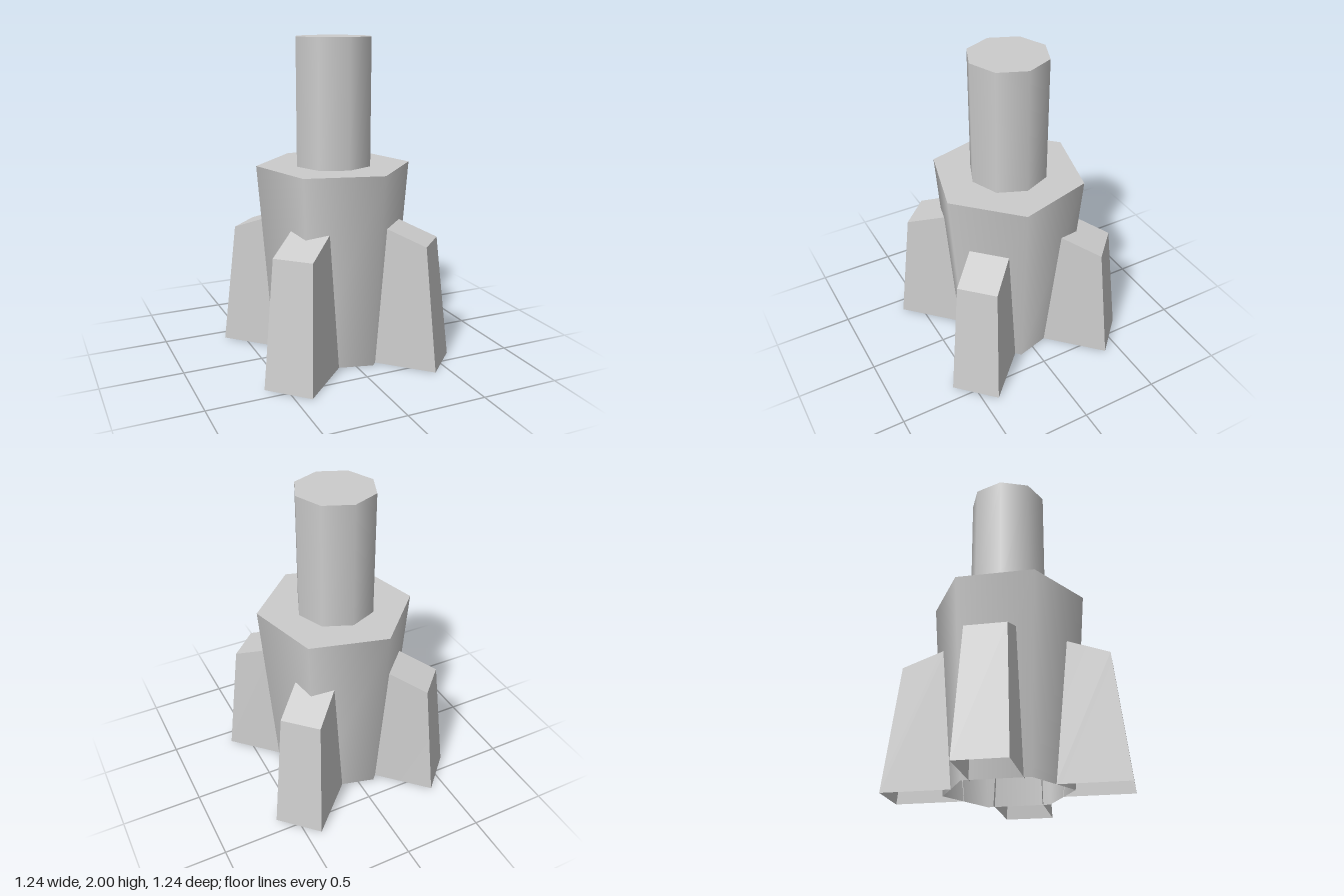
import * as THREE from 'three';

const grey = new THREE.MeshStandardMaterial({ color: 0xcccccc, side: THREE.DoubleSide });
grey.name = 'plain grey';

function add(parent, name, geometry) {
  const mesh = new THREE.Mesh(geometry, grey);
  mesh.name = name;
  parent.add(mesh);
  return mesh;
}

// Smooth-sided prism, open underneath, with a flat lid
function prism(name, rTop, rBottom, y0, y1, sides, turn) {
  const group = new THREE.Group();
  group.name = name;
  const h = y1 - y0;
  add(group, name + 'Wall', new THREE.CylinderGeometry(rTop, rBottom, h, sides, 1, true, turn)).position.y = y0 + h / 2;
  const lid = add(group, name + 'Lid', new THREE.CircleGeometry(rTop, sides, turn + Math.PI / 2));
  lid.rotation.x = -Math.PI / 2;
  lid.position.y = y1;
  return group;
}

// Tapered fin pointing along +z with a sloping top, open underneath and where it meets the body
function finGeometry() {
  const geo = new THREE.BoxGeometry(2, 2, 2);
  const pos = geo.attributes.position;
  for (let i = 0; i < pos.count; i++) {
    const top = pos.getY(i) > 0;
    const outer = pos.getZ(i) > 0;
    const x = Math.sign(pos.getX(i)) * (top ? 0.124 : 0.152);
    const y = top ? (outer ? 0.78 : 0.878) : 0;
    const z = outer ? (top ? 0.64 : 0.726) : (top ? 0.37 : 0.30);
    pos.setXYZ(i, x, y, z);
  }
  // Keep the two sides, the top and the outer end
  const index = Array.from(geo.index.array);
  geo.setIndex([...index.slice(0, 18), ...index.slice(24, 30)]);
  geo.clearGroups();
  geo.computeVertexNormals();
  return geo;
}

export function createModel() {
  const model = new THREE.Group();
  model.name = 'finnedPeg';

  // Six-sided body, widening upward, with one corner on the diagonal
  model.add(prism('body', 0.481, 0.39, 0, 1.22, 6, -Math.PI / 4));

  // Eight-sided post
  const post = prism('post', 0.243, 0.243, 1.22, 2, 8, 0);
  post.position.z = -0.005;
  model.add(post);

  // Four diagonal fins
  const fin = finGeometry();
  for (let i = 0; i < 4; i++) {
    add(model, 'fin' + (i + 1), fin).rotation.y = Math.PI / 4 + i * Math.PI / 2;
  }
  return model;
}
